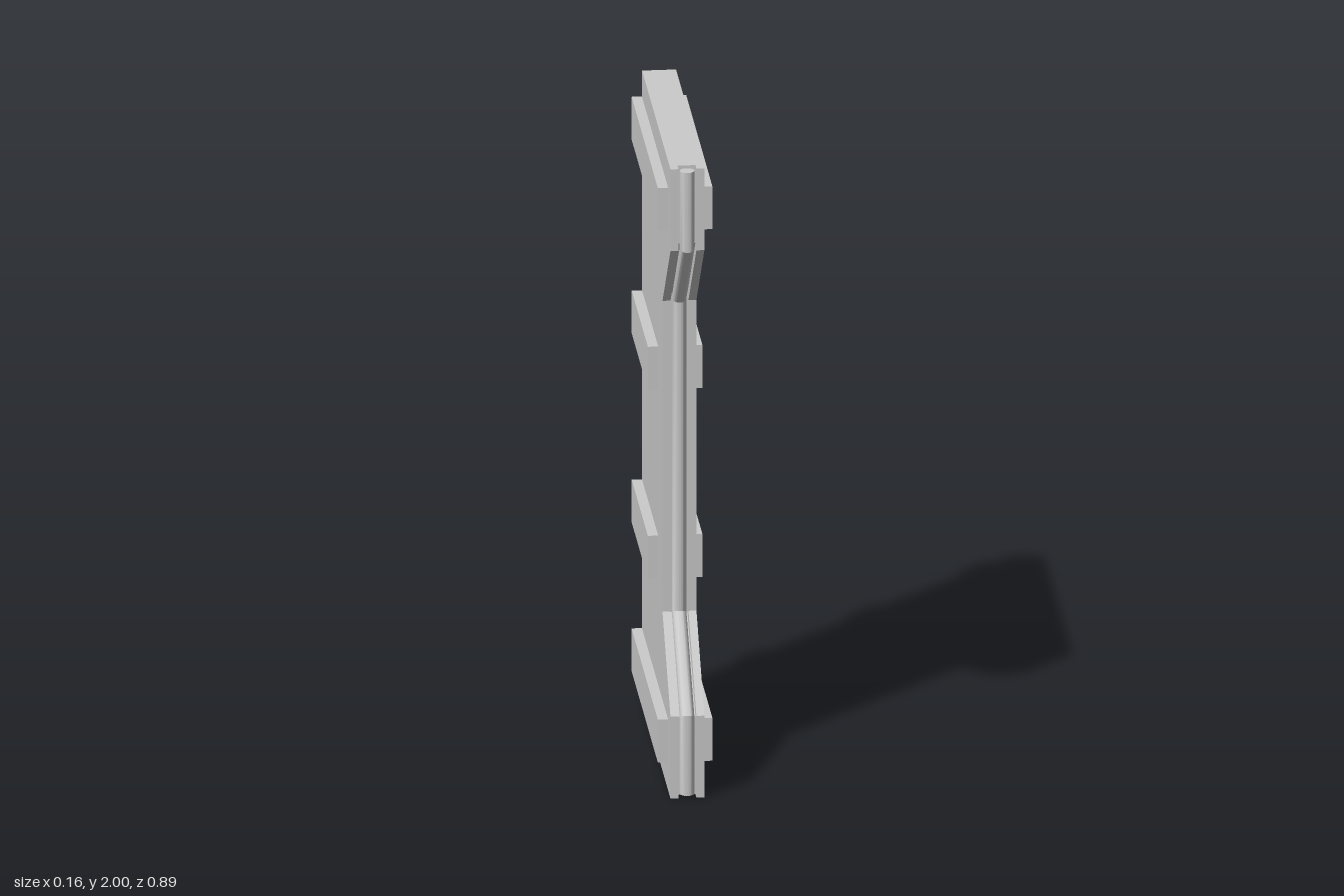
import * as THREE from 'three';
import { toCreasedNormals } from 'three/addons/utils/BufferGeometryUtils.js';

const material = new THREE.MeshStandardMaterial({ color: 0xcccccc });

// Front edge of the panel as [z, y] pairs, moved inward by d with mitred corners
function frontEdge(d, yEnd = 0) {
  const m = d * Math.tan(Math.PI / 8);
  const lower = [[0.436 - d, yEnd], [0.436 - d, 0.26 - m], [0.19 - d, 0.506 - m]];
  const upper = lower.map(([z, y]) => [z, 2 - y]).reverse();
  return [...lower, ...upper];
}

// Solid plate between the back edge and the inset front edge
function plate(name, inset, thickness, x) {
  const points = [[-0.441, 0], ...frontEdge(inset), [-0.441, 2]];
  const shape = new THREE.Shape(points.map(([z, y]) => new THREE.Vector2(z, y)));
  const geometry = new THREE.ExtrudeGeometry(shape, { depth: thickness, bevelEnabled: false });
  geometry.translate(0, 0, -thickness / 2).rotateY(-Math.PI / 2).translate(x, 0, 0);
  const mesh = new THREE.Mesh(geometry, material);
  mesh.name = name;
  return mesh;
}

// Round rod swept along the front edge with mitred corners
function edgeRod(radius, inset, sides) {
  const positions = [];
  const index = [];
  const rows = frontEdge(0).length;
  for (let j = 0; j < sides; j++) {
    const a = (j / sides) * Math.PI * 2;
    for (const [z, y] of frontEdge(inset - radius * Math.sin(a), 0.01)) {
      positions.push(radius * Math.cos(a), y, z);
    }
  }
  const ends = frontEdge(inset, 0.01);
  const bottom = sides * rows;
  for (const [z, y] of [ends[0], ends[rows - 1]]) positions.push(0, y, z);
  for (let j = 0; j < sides; j++) {
    const p = j * rows;
    const q = ((j + 1) % sides) * rows;
    for (let i = 0; i < rows - 1; i++) {
      index.push(p + i, p + i + 1, q + i, p + i + 1, q + i + 1, q + i);
    }
    index.push(bottom, p, q, bottom + 1, q + rows - 1, p + rows - 1);
  }
  const geometry = new THREE.BufferGeometry();
  geometry.setAttribute('position', new THREE.Float32BufferAttribute(positions, 3));
  geometry.setIndex(index);
  const mesh = new THREE.Mesh(toCreasedNormals(geometry, 0.5), material);
  mesh.name = 'edgeRod';
  return mesh;
}

// Horizontal band passing through the panel and standing proud on both faces
function band(name, y, zBack, zFront) {
  const geometry = new THREE.BoxGeometry(0.164, 0.136, zFront - zBack);
  const mesh = new THREE.Mesh(geometry, material);
  mesh.position.set(0, y, (zBack + zFront) / 2);
  mesh.name = name;
  return mesh;
}

export function createModel() {
  const model = new THREE.Group();
  model.name = 'notchedPanel';

  // Two side plates around a recessed core leave a groove along the front edge
  const groove = 0.027;
  const half = 0.051;
  model.add(plate('core', 0.031, groove * 2, 0));
  for (const side of [-1, 1]) {
    const name = side > 0 ? 'leftPlate' : 'rightPlate';
    model.add(plate(name, 0, half - groove, (side * (half + groove)) / 2));
  }

  // Rod seated in the groove
  model.add(edgeRod(0.022, 0.012, 32));

  // Long bands at the ends, short bands at the waist
  model.add(band('lowerLongBand', 0.158, -0.446, 0.364));
  model.add(band('lowerShortBand', 0.632, -0.442, 0.056));
  model.add(band('upperShortBand', 1.233, -0.442, 0.056));
  model.add(band('upperLongBand', 1.848, -0.446, 0.364));
  return model;
}
